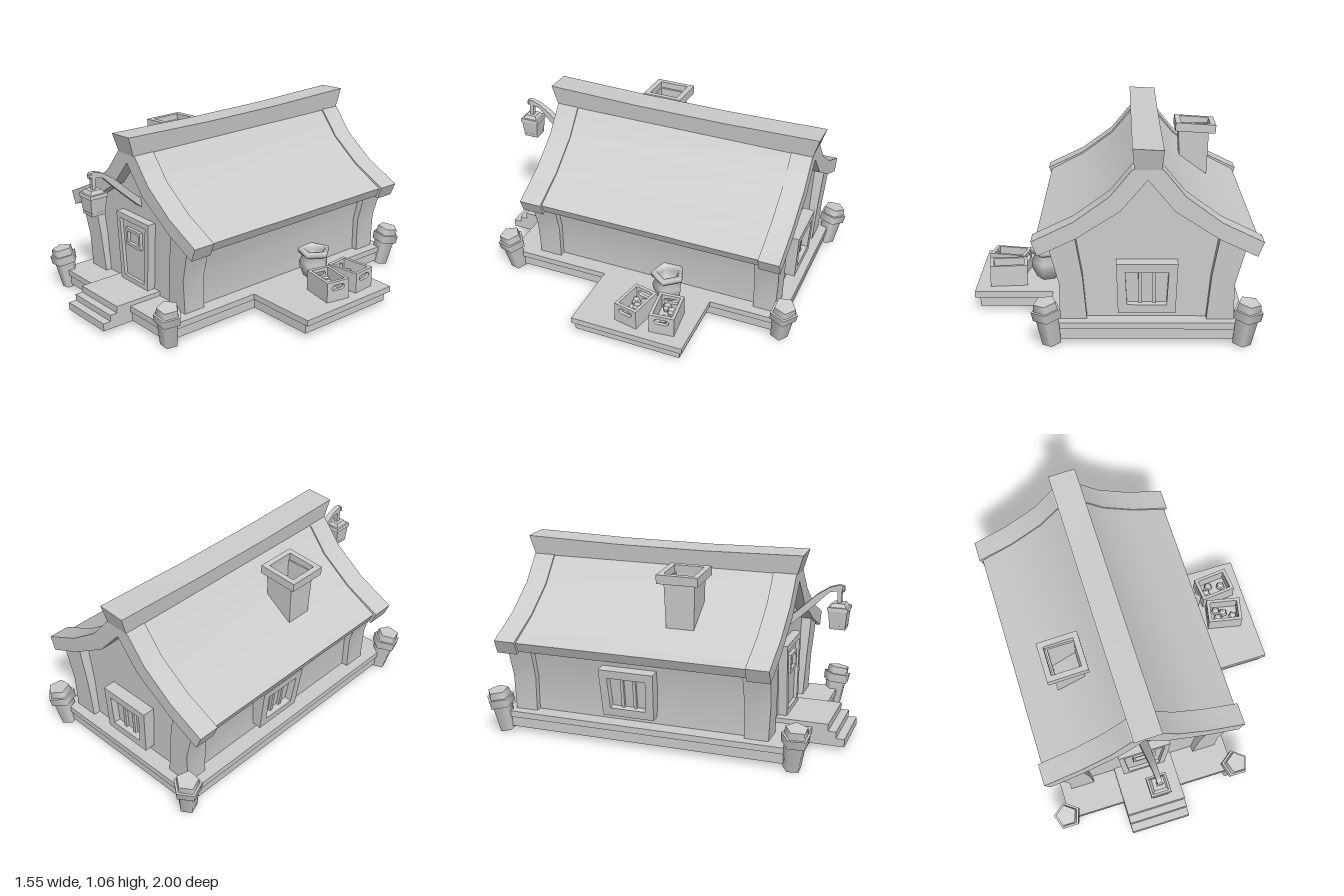
import * as THREE from 'three';
import { toCreasedNormals } from 'three/addons/utils/BufferGeometryUtils.js';

const CX = -0.177; // centre line of the house
const mat = new THREE.MeshStandardMaterial({ color: 0xcccccc });
const flat = new THREE.MeshStandardMaterial({ color: 0xcccccc, flatShading: true });

function add(parent, name, geometry, material = mat) {
  const mesh = new THREE.Mesh(geometry, material);
  mesh.name = name;
  parent.add(mesh);
  return mesh;
}

// Box given by its limits
function box(parent, name, x0, x1, y0, y1, z0, z1) {
  const g = new THREE.BoxGeometry(x1 - x0, y1 - y0, z1 - z0);
  return add(parent, name, g.translate((x0 + x1) / 2, (y0 + y1) / 2, (z0 + z1) / 2));
}

const shapeOf = (pts) => new THREE.Shape(pts.map(([x, y]) => new THREE.Vector2(x, y)));

// Outline extruded from z0 to z1, smooth over shallow bends
function prism(shape, z0, z1, crease = 0.4) {
  const g = new THREE.ExtrudeGeometry(shape, { depth: z1 - z0, bevelEnabled: false, curveSegments: 5 });
  return toCreasedNormals(g.translate(0, 0, z0), crease);
}

// Outline given as (z, y), extruded along x
const sidePrism = (pts, x0, x1) =>
  prism(shapeOf(pts.map(([z, y]) => [-z, y])), x0, x1).rotateY(Math.PI / 2);

// Half profile (distance from centre line, height) mirrored to a closed outline
const mirrored = (half) => shapeOf([
  ...half.map(([u, y]) => [CX + u, y]),
  ...half.filter(([u]) => u > 0).reverse().map(([u, y]) => [CX - u, y]),
]);

// Centred trapezoid: top width, bottom width, height
const trapezoid = (wt, wb, h) =>
  [[-wb / 2, -h / 2], [wb / 2, -h / 2], [wt / 2, h / 2], [-wt / 2, h / 2]];

// Trapezoid ring of border t
function ring(wt, wb, h, t, depth) {
  const s = shapeOf(trapezoid(wt, wb, h));
  s.holes.push(shapeOf(trapezoid(wt - 2 * t, wb - 2 * t, h - 2 * t)));
  return prism(s, 0, depth, 0.1);
}

// Move each vertex by a rule
function warp(g, rule) {
  const p = g.attributes.position, v = new THREE.Vector3();
  for (let i = 0; i < p.count; i++) {
    rule(v.fromBufferAttribute(p, i));
    p.setXYZ(i, v.x, v.y, v.z);
  }
  return toCreasedNormals(g, 0.4);
}

// Hollow skirting below a deck
function skirting(parent, name, x0, x1, z0, z1) {
  const w = x1 - x0;
  const g = ring(w, w, z1 - z0, 0.025, 0.06).rotateX(-Math.PI / 2);
  add(parent, name, g.translate((x0 + x1) / 2, 0.027, (z0 + z1) / 2));
}

function makeWindow(name) {
  const win = new THREE.Group();
  win.name = name;
  add(win, 'windowFrame', ring(0.32, 0.3, 0.275, 0.047, 0.07));
  box(win, 'windowPane', -0.13, 0.13, -0.12, 0.12, 0, 0.03);
  for (const x of [-0.036, 0.036]) box(win, 'mullion', x - 0.009, x + 0.009, -0.11, 0.11, 0, 0.045);
  return win;
}

function makePillar() {
  const pillar = new THREE.Group();
  pillar.name = 'cornerPillar';
  for (const [name, rt, rb, y0, y1] of [
    ['pillarShaft', 0.064, 0.052, 0, 0.17],
    ['pillarBand', 0.081, 0.078, 0.152, 0.202],
    ['pillarCap', 0.062, 0.067, 0.2, 0.243],
  ]) {
    const g = new THREE.CylinderGeometry(rt, rb, y1 - y0, 5);
    add(pillar, name, g.rotateY(Math.PI).translate(0, (y0 + y1) / 2, 0));
  }
  return pillar;
}

// Open crate with a hand slot in both ends
function makeCrate(fruit) {
  const crate = new THREE.Group();
  crate.name = 'crate';
  box(crate, 'crateFloor', -0.1, 0.1, 0, 0.03, -0.07, 0.07);
  for (const s of [-1, 1]) {
    box(crate, 'crateSide', -0.085, 0.085, 0, 0.12, s * 0.064 - 0.009, s * 0.064 + 0.009);
    const end = shapeOf([[-0.073, 0], [0.073, 0], [0.073, 0.12], [-0.073, 0.12]]);
    end.holes.push(new THREE.Path()
      .moveTo(-0.025, 0.065).lineTo(0.025, 0.065)
      .absarc(0.025, 0.082, 0.017, -Math.PI / 2, Math.PI / 2)
      .lineTo(-0.025, 0.099)
      .absarc(-0.025, 0.082, 0.017, Math.PI / 2, Math.PI * 1.5));
    add(crate, 'crateEnd', prism(end, -0.01, 0.01).rotateY(Math.PI / 2).translate(s * 0.095, 0, 0));
  }
  for (const [x, z] of fruit) {
    add(crate, 'fruit', new THREE.SphereGeometry(0.029, 5, 4).translate(x, 0.055, z), flat);
  }
  return crate;
}

export function createModel() {
  const model = new THREE.Group();
  model.name = 'cottage';

  // Main deck, open below the house floor, and the side deck
  const slab = shapeOf([[-0.69, -0.815], [0.337, -0.815], [0.337, 0.905], [-0.69, 0.905]]);
  slab.holes.push(shapeOf([[CX - 0.4, -0.59], [CX + 0.4, -0.59], [CX + 0.4, 0.785], [CX - 0.4, 0.785]]));
  add(model, 'mainDeck', prism(slab, 0.085, 0.12).rotateX(-Math.PI / 2));
  skirting(model, 'mainDeckSkirting', -0.68, 0.327, -0.895, 0.805);
  box(model, 'sideDeck', 0.336, 0.775, 0.085, 0.12, -0.48, 0.19);
  skirting(model, 'sideDeckSkirting', 0.302, 0.748, -0.458, 0.178);

  // Hollow steps: a folded band of treads between two side plates
  const treads = [[0.6, 0.147], [0.905, 0.147], [0.905, 0.107], [0.95, 0.107],
    [0.95, 0.07], [0.997, 0.07], [0.997, 0.025]];
  const under = treads.map(([z, y], i) => [i ? z - 0.012 : z, i < 6 ? y - 0.012 : y]).reverse();
  add(model, 'stepTreads', sidePrism([...treads, ...under], -0.354, 0));
  for (const x of [-0.354, -0.012]) {
    add(model, 'stepSide', sidePrism([...treads, [0.6, 0.025]], x, x + 0.012));
  }

  // Walls with gables
  add(model, 'walls', prism(mirrored([
    [0.418, 0.115], [0.42, 0.32], [0.475, 0.54], [0.375, 0.6], [0.15, 0.75], [0, 0.92],
  ]), -0.81, 0.61));

  // Bowed corner posts, their outer faces leaning out
  for (const s of [-1, 1]) {
    const outline = [[0.31, 0.09], [0.455, 0.09], [0.457, 0.32], [0.505, 0.5], [0.512, 0.53],
      [0.375, 0.6], [0.37, 0.56], [0.335, 0.36]].map(([u, y]) => [CX + s * u, y]);
    for (const [z0, z1, lean] of [[0.51, 0.645, 0.05], [-0.85, -0.72, -0.04]]) {
      add(model, 'cornerPost', warp(prism(shapeOf(outline), z0, z1), (v) => {
        if (v.z > 0.6 || v.z < -0.8) v.z += lean * (v.y - 0.12);
      }));
    }
  }

  // Swept roof with thicker end trims
  add(model, 'roof', prism(mirrored([
    [0, 0.97], [0.075, 0.933], [0.192, 0.793], [0.377, 0.657], [0.578, 0.552],
    [0.553, 0.497], [0.37, 0.585], [0.148, 0.733], [0, 0.9],
  ]), -0.8, 0.6));
  for (const [z0, z1] of [[0.55, 0.68], [-0.893, -0.77]]) {
    add(model, 'roofTrim', prism(mirrored([
      [0, 0.97], [0.08, 0.94], [0.195, 0.8], [0.38, 0.665], [0.597, 0.56],
      [0.565, 0.483], [0.37, 0.575], [0.14, 0.723], [0, 0.888],
    ]), z0, z1));
  }

  // Ridge beam with raised, flared ends
  add(model, 'ridgeBeam', warp(new THREE.BoxGeometry(0.14, 0.1, 1.575, 1, 1, 3).translate(0, 0.99, 0), (v) => {
    if (v.y > 1) {
      v.x *= 1.14;
      if (Math.abs(v.z) > 0.5) { v.y += 0.013; v.z *= 1.042; }
      v.y += v.x * 0.05;
    }
    v.x += CX;
    v.z -= 0.105;
  }));

  // Hollow chimney and tilted cap
  const shaft = ring(0.178, 0.178, 0.178, 0.012, 0.33).rotateX(-Math.PI / 2);
  add(model, 'chimneyShaft', warp(shaft, (v) => {
    const k = 0.87 + 0.13 * v.y / 0.33;
    v.set(v.x * k - 0.467, v.y + 0.605, v.z * k + 0.117);
  }));
  const cap = add(model, 'chimneyCap', ring(0.235, 0.235, 0.235, 0.032, 0.05).rotateX(-Math.PI / 2));
  cap.position.set(-0.475, 0.923, 0.117);
  cap.rotation.z = 0.065;

  // Door
  const door = new THREE.Group();
  door.name = 'door';
  door.position.set(CX, 0.35, 0.6);
  add(door, 'doorFrame', ring(0.31, 0.255, 0.415, 0.033, 0.06));
  add(door, 'doorPanel', prism(shapeOf(trapezoid(0.25, 0.2, 0.37)), 0, 0.04));
  const pane = add(door, 'doorWindowFrame', ring(0.135, 0.135, 0.105, 0.017, 0.025));
  pane.position.set(0, 0.078, 0.035);
  model.add(door);

  // Windows on the back and on the chimney side
  const back = makeWindow('backWindow');
  back.position.set(CX, 0.302, -0.807);
  back.rotation.set(-0.04, Math.PI, 0);
  const side = makeWindow('sideWindow');
  side.position.set(-0.597, 0.302, -0.15);
  side.rotation.set(0, -Math.PI / 2, 0.13, 'ZYX');
  model.add(back, side);

  // Leaning corner pillars
  for (const sx of [-1, 1]) for (const [sz, z] of [[1, 0.785], [-1, -0.895]]) {
    const pillar = makePillar();
    pillar.position.set(CX + sx * 0.495, 0.008, z);
    pillar.rotation.set(sz * 0.13, 0, -sx * 0.14);
    model.add(pillar);
  }

  // Lantern on a curved arm that narrows to its tip
  const lantern = new THREE.Group();
  lantern.name = 'lantern';
  const arm = sidePrism([[0.6, 0.61], [0.674, 0.675], [0.78, 0.775], [0.85, 0.845], [0.93, 0.862],
    [0.925, 0.884], [0.9, 0.888], [0.85, 0.872], [0.78, 0.825], [0.674, 0.725], [0.6, 0.665]], -1, 1);
  add(lantern, 'lanternArm', warp(arm, (v) => {
    v.x = CX + v.x * (0.026 - 0.042 * (v.z - 0.61));
  }));
  const hook = new THREE.TorusGeometry(0.014, 0.006, 5, 10);
  add(lantern, 'lanternRing', hook.translate(CX, 0.868, 0.925));
  box(lantern, 'lanternHanger', CX - 0.012, CX + 0.012, 0.785, 0.87, 0.893, 0.917);
  for (const [name, wt, wb, y0, y1] of [
    ['lanternRoof', 0.065, 0.09, 0.768, 0.79],
    ['lanternRim', 0.11, 0.115, 0.75, 0.77],
    ['lanternBody', 0.104, 0.088, 0.665, 0.752],
    ['lanternBase', 0.09, 0.085, 0.647, 0.668],
  ]) {
    const g = new THREE.CylinderGeometry(wt * Math.SQRT1_2, wb * Math.SQRT1_2, y1 - y0, 4);
    add(lantern, name, g.rotateY(Math.PI / 4).translate(CX, (y0 + y1) / 2, 0.905), flat);
  }
  model.add(lantern);

  // Five-sided pot with a thick rim
  const profile = [[0, 0.12], [0.058, 0.12], [0.085, 0.175], [0.09, 0.215], [0.07, 0.262], [0.094, 0.267],
    [0.1, 0.283], [0.094, 0.3], [0.07, 0.3], [0.06, 0.27], [0.06, 0.2], [0, 0.19]];
  const pot = new THREE.LatheGeometry(profile.map(([r, y]) => new THREE.Vector2(r, y)), 5, Math.PI / 2 + 0.05);
  add(model, 'pot', pot.translate(0.385, 0, -0.24));

  // Crates of fruit
  const crates = [
    [0.598, -0.32, 0.1, [[-0.03, -0.02], [-0.06, 0.015], [0.045, 0.005]]],
    [0.603, -0.135, -0.2, [[-0.05, -0.02], [-0.04, 0.025], [-0.005, -0.005], [0.055, 0.02]]],
  ];
  for (const [x, z, turn, fruit] of crates) {
    const crate = makeCrate(fruit);
    crate.position.set(x, 0.12, z);
    crate.rotation.y = turn;
    model.add(crate);
  }
  return model;
}
